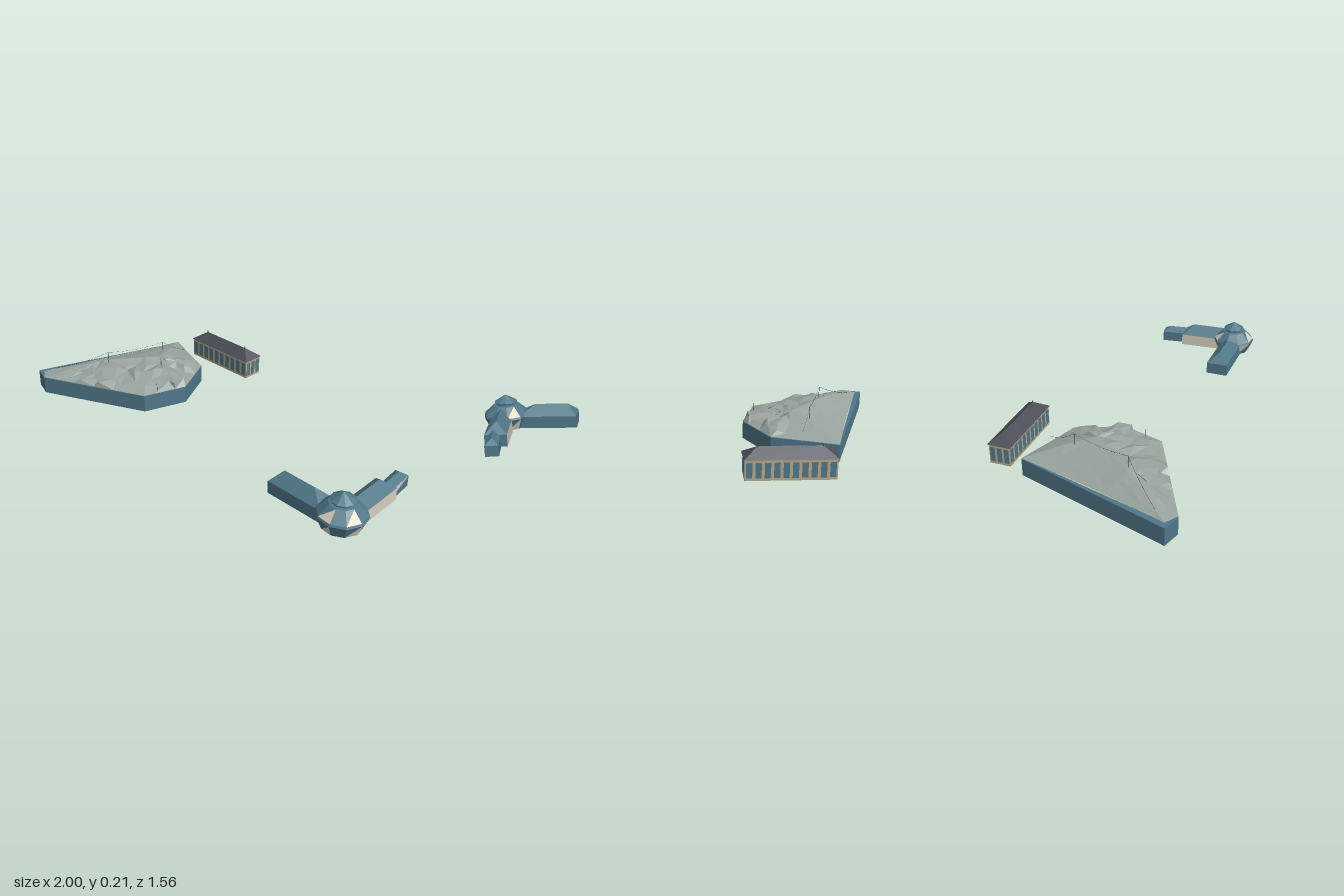
import * as THREE from 'three';

const mat = (name, color, double) => {
  const m = new THREE.MeshStandardMaterial({ color, flatShading: true });
  m.name = name;
  if (double) m.side = THREE.DoubleSide;
  return m;
};

export function createModel() {
  const root = new THREE.Group();
  root.name = 'islandBuildings';
  const blue = mat('slateBlue', 0x507788);
  const rock = mat('rockGrey', 0x98a39e);
  const roof = mat('darkRoof', 0x4c4e58);
  const cream = mat('cream', 0xd6ccbc, true);
  const tan = mat('tan', 0xb9a888);
  const wire = mat('wireBlack', 0x22262a);

  let seed = 7;
  const rand = () => (seed = (seed * 16807) % 2147483647) / 2147483647 - 0.5;

  // Flat mesh from a list of [material, corners], each polygon fanned into triangles
  function faces(name, list, parent = root) {
    const mats = [...new Set(list.map(f => f[0]))];
    const geo = new THREE.BufferGeometry();
    const pos = [];
    mats.forEach((m, k) => {
      const start = pos.length / 3;
      for (const [, p] of list.filter(f => f[0] === m))
        for (let i = 1; i < p.length - 1; i++) pos.push(...p[0], ...p[i], ...p[i + 1]);
      geo.addGroup(start, pos.length / 3 - start, k);
    });
    geo.setAttribute('position', new THREE.Float32BufferAttribute(pos, 3));
    geo.computeVertexNormals();
    const mesh = new THREE.Mesh(geo, mats);
    mesh.name = name;
    parent.add(mesh);
    return mesh;
  }

  function add(name, geo, material, x, y, z, parent = root) {
    const mesh = new THREE.Mesh(geo, material);
    mesh.name = name;
    mesh.position.set(x, y, z);
    parent.add(mesh);
    return mesh;
  }

  // Group whose local x axis runs from a to b on the ground
  function along(name, a, b) {
    const g = new THREE.Group();
    g.name = name;
    g.position.set(a[0], 0, a[1]);
    g.rotation.y = -Math.atan2(b[1] - a[1], b[0] - a[0]);
    root.add(g);
    return [g, Math.hypot(b[0] - a[0], b[1] - a[1])];
  }

  // Hipped roof over a rectangle of half-width w, eaves at h, ridge at r
  const hip = (m, L, w, h, r, i0, i1) => {
    const A = [i0, r, 0], B = [L - i1, r, 0];
    return [
      [m, [[0, h, w], [L, h, w], B, A]], [m, [[L, h, -w], [0, h, -w], A, B]],
      [m, [[L, h, w], [L, h, -w], B]], [m, [[0, h, -w], [0, h, w], A]]];
  };

  // Low wing with hipped roof; each long wall is split into two coloured triangles
  function wing(name, a, b, w, h, r, i0, i1, south, north) {
    const [g, L] = along(name, a, b);
    faces(name + 'Shell', [
      ...hip(blue, L, w, h, r, i0, i1),
      [south[0], [[0, 0, w], [L, 0, w], [L, h, w]]], [south[1], [[0, 0, w], [L, h, w], [0, h, w]]],
      [north[0], [[L, 0, -w], [0, 0, -w], [0, h, -w]]], [north[1], [[L, 0, -w], [0, h, -w], [L, h, -w]]],
      [blue, [[L, 0, w], [L, 0, -w], [L, h, -w], [L, h, w]]],
      [blue, [[0, 0, -w], [0, 0, w], [0, h, w], [0, h, -w]]],
      [tan, [[0, 0, -w], [L, 0, -w], [L, 0, w], [0, 0, w]]]], g);
  }

  // Large six-sided base
  const outline = [[-1, -0.09], [-0.935, -0.02], [-0.355, 0.02], [-0.185, -0.135], [-0.175, -0.385], [-0.393, -0.632]];
  const shape = new THREE.Shape(outline.map(([x, z]) => new THREE.Vector2(x, -z)));
  add('base', new THREE.ExtrudeGeometry(shape, { depth: 0.088, bevelEnabled: false }).rotateX(-Math.PI / 2), blue, 0, 0, 0);
  faces('ledge', [[cream, [[-0.93, 0.091, -0.115], [-0.80, 0.091, -0.16], [-0.47, 0.091, -0.5], [-0.5, 0.091, -0.525]]]]);

  // Rocky mound: rings shrinking from the rim to a ridge, rough toward the front and right
  const rim = [[-0.965, -0.085], [-0.935, -0.02], [-0.355, 0.02], [-0.185, -0.135], [-0.175, -0.385], [-0.393, -0.632], [-0.65, -0.375]];
  const steps = [2, 10, 4, 5, 5, 3, 4], samples = [];
  rim.forEach((p, i) => {
    const q = rim[(i + 1) % rim.length];
    for (let s = 0; s < steps[i]; s++)
      samples.push([p[0] + (q[0] - p[0]) * s / steps[i], p[1] + (q[1] - p[1]) * s / steps[i]]);
  });
  const A = [-0.66, -0.19], B = [-0.38, -0.29];
  const levels = [0, 0.16, 0.36, 0.6, 0.82, 1];
  const rings = levels.map((t, k) => samples.map(([x, z]) => {
    const dx = B[0] - A[0], dz = B[1] - A[1];
    const u = Math.min(1, Math.max(0, ((x - A[0]) * dx + (z - A[1]) * dz) / (dx * dx + dz * dz)));
    const tx = A[0] + u * dx, tz = A[1] + u * dz;
    const rough = (x - tx) * 0.66 + (z - tz) * 0.75 > 0.03;
    const inner = k > 0 && k < levels.length - 1;
    const j = inner ? (rough ? 1 : 0.15) : 0;
    const top = 0.152 + 0.012 * u;
    const y = 0.089 + (top - 0.089) * Math.pow(t, rough ? 0.6 : 0.85) + rand() * 0.022 * j;
    return [x + (tx - x) * t + rand() * 0.05 * j, Math.max(0.091, y), z + (tz - z) * t + rand() * 0.05 * j];
  }));
  const rockFaces = [];
  for (let k = 0; k < rings.length - 1; k++)
    for (let i = 0; i < samples.length; i++) {
      const n = (i + 1) % samples.length, [o, p] = [rings[k], rings[k + 1]];
      rockFaces.push([rock, (i + k) % 2 ? [o[i], o[n], p[n], p[i]] : [o[n], p[n], p[i], o[i]]]);
    }
  faces('rockMound', rockFaces);

  // Thin poles and sagging wires across the mound
  const poles = [[-0.9, 0.11, -0.11], [-0.63, 0.205, -0.18], [-0.4, 0.2, -0.39], [-0.28, 0.125, -0.49]];
  for (const [x, y, z] of [poles[1], poles[2], [-0.31, 0.135, -0.05]])
    add('pole', new THREE.CylinderGeometry(0.0012, 0.0012, y - 0.088, 5), wire, x, (y + 0.088) / 2, z);
  for (let i = 0; i < 3; i++) {
    const a = new THREE.Vector3(...poles[i]), b = new THREE.Vector3(...poles[i + 1]);
    const mid = a.clone().lerp(b, 0.5);
    mid.y -= 0.025;
    add('wire', new THREE.TubeGeometry(new THREE.QuadraticBezierCurve3(a, mid, b), 10, 0.0006, 4), wire, 0, 0, 0);
  }

  // Long hall: tan body, blue windows, dark hipped roof
  const [hall, L] = along('hall', [-0.2925, -0.7325], [0.083, -0.5225]);
  const W = 0.059, wl = L - 0.012, ww = W - 0.006;
  add('hallWalls', new THREE.BoxGeometry(wl, 0.1, ww * 2), tan, L / 2, 0.05, 0, hall);
  const windows = (count, span, place) => {
    const pitch = span / count;
    for (let i = 0; i < count; i++) place((i + 0.5) * pitch - span / 2, pitch * 0.66);
  };
  for (const s of [-1, 1]) {
    windows(10, wl, (o, size) =>
      add('window', new THREE.BoxGeometry(size, 0.074, 0.003), blue, L / 2 + o, 0.05, s * ww, hall));
    windows(3, ww * 2, (o, size) =>
      add('window', new THREE.BoxGeometry(0.003, 0.074, size), blue, L / 2 + s * wl / 2, 0.05, o, hall));
    add('finial', new THREE.ConeGeometry(0.006, 0.016, 4), roof, L / 2 + s * 0.147, 0.15, 0, hall);
  }
  faces('hallRoof', [
    ...hip(roof, L, W, 0.1, 0.146, 0.067, 0.067),
    [roof, [[0, 0.1, -W], [L, 0.1, -W], [L, 0.1, W], [0, 0.1, W]]]], hall);

  // Pavilion wings
  wing('westWing', [0.441, 0.48], [0.7, 0.63], 0.057, 0.062, 0.113, 0.045, 0.085, [blue, blue], [blue, blue]);
  wing('eastWing', [0.79, 0.64], [0.912, 0.397], 0.055, 0.062, 0.113, 0.03, 0.06, [cream, cream], [cream, cream]);
  wing('eastAnnex', [0.9, 0.45], [0.97, 0.287], 0.033, 0.055, 0.082, 0.03, 0.035, [blue, cream], [blue, blue]);

  // Faceted round pavilion with cream triangles and a pointed cap
  const N = 10;
  const profile = [[0.092, 0], [0.117, 0.06], [0.112, 0.07], [0.064, 0.115], [0.05, 0.118], [0.05, 0.126], [0.058, 0.131], [0.001, 0.167]];
  const pt = (i, k) => {
    const a = i * 2 * Math.PI / N, [r, y] = profile[k];
    return [0.76 + r * Math.cos(a), y, 0.66 - r * Math.sin(a)];
  };
  const shell = [], floor = [];
  for (let i = 0; i < N; i++) {
    floor.unshift(pt(i, 0));
    for (let k = 0; k < profile.length - 1; k++) {
      const a = pt(i, k), b = pt(i + 1, k), c = pt(i + 1, k + 1), d = pt(i, k + 1);
      const lower = (k === 0 && i % 2 === 0) || (k === 2 && [2, 6, 8].includes(i));
      const upper = k === 0 && i % 4 === 1;
      shell.push([lower ? cream : blue, [a, b, c]], [upper ? cream : blue, [a, c, d]]);
    }
  }
  faces('pavilion', [...shell, [tan, floor]]);

  return root;
}
